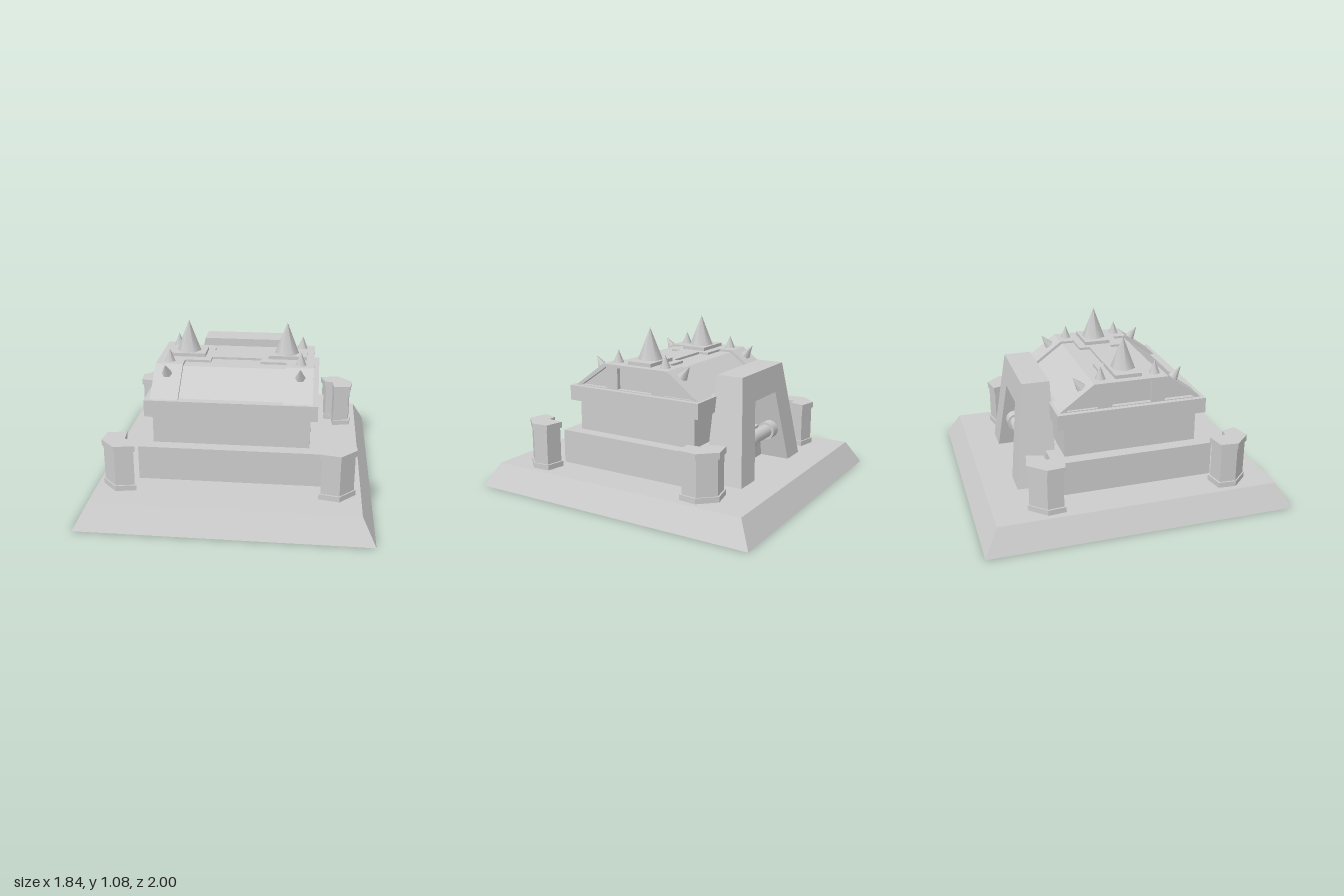
import * as THREE from 'three';

const grey = new THREE.MeshStandardMaterial({ color: 0xcccccc });
const greyOpen = new THREE.MeshStandardMaterial({ color: 0xcccccc, side: THREE.DoubleSide });
const MID = 0.0275; // z of the building's centre line

const toShape = (pts) => new THREE.Shape(pts.map(([x, y]) => new THREE.Vector2(x, y)));

// Box given by its limits on each axis
function box(x0, x1, y0, y1, z0, z1) {
  return new THREE.BoxGeometry(x1 - x0, y1 - y0, z1 - z0)
    .translate((x0 + x1) / 2, (y0 + y1) / 2, (z0 + z1) / 2);
}

// [z, y] outline extruded along x, with optional holes
function prismX(pts, x0, x1, holes = []) {
  const flip = (list) => list.map(([z, y]) => [-z, y]);
  const shape = toShape(flip(pts));
  shape.holes = holes.map((h) => toShape(flip(h)));
  return new THREE.ExtrudeGeometry(shape, { depth: x1 - x0, bevelEnabled: false })
    .rotateY(Math.PI / 2).translate(x0, 0, 0);
}

// [x, z] outline extruded upwards
function prismY(pts, y0, y1) {
  return new THREE.ExtrudeGeometry(toShape(pts.map(([x, z]) => [x, -z])), { depth: y1 - y0, bevelEnabled: false })
    .rotateX(-Math.PI / 2).translate(0, y0, 0);
}

export function createModel() {
  const model = new THREE.Group();
  const add = (name, geometry, parent = model, material = grey) => {
    const mesh = new THREE.Mesh(geometry, material);
    mesh.name = name;
    parent.add(mesh);
    return mesh;
  };
  const group = (name) => {
    const g = new THREE.Group();
    g.name = name;
    model.add(g);
    return g;
  };

  // Sloping base, open underneath
  const base = box(-0.92, 0.92, 0, 0.155, -1, 1);
  const p = base.attributes.position;
  for (let i = 0; i < p.count; i++) {
    if (p.getY(i) > 0.1) p.setXYZ(i, p.getX(i) * 0.908, p.getY(i), p.getZ(i) * 0.91);
  }
  const index = Array.from(base.index.array);
  index.splice(18, 6);
  base.setIndex(index);
  base.clearGroups();
  const flatBase = base.toNonIndexed();
  flatBase.computeVertexNormals();
  add('base', flatBase, model, greyOpen);

  // Stepped walls and roof slab
  add('lowerTier', box(-0.59, 0.59, 0.15, 0.38, -0.505, 0.555));
  add('upperTier', box(-0.505, 0.505, 0.38, 0.585, -0.41, 0.47));
  add('roofSlab', box(-0.55, 0.55, 0.585, 0.685, -0.46, 0.52));

  // Roof: lower middle, raised ends with framed gables
  const roof = group('roof');
  const profile = (half, top, y) => [
    [MID + half, 0.685], [MID + top, y], [MID - top, y], [MID - half, 0.685],
  ];
  add('roofMiddle', prismX(profile(0.4375, 0.2325, 0.835), -0.335, 0.335), roof);
  add('ridgePlateMiddle', box(-0.165, 0.165, 0.82, 0.85, -0.05, 0.1), roof);
  const end = profile(0.4675, 0.243, 0.85);
  const sidePanel = (s) => [[0.2225, 0.69], [0.2225, 0.83], [0.425, 0.69]].map(([z, y]) => [MID + s * z, y]);
  const panels = [
    [[-0.1, 0.69], [-0.1, 0.83], [0.16, 0.83], [0.16, 0.69]],
    sidePanel(1), sidePanel(-1),
  ];
  for (const s of [-1, 1]) {
    const span = (a, b) => (s > 0 ? [a, b] : [-b, -a]);
    add('roofEnd', prismX(end, ...span(0.335, 0.485)), roof);
    add('gableFrame', prismX(end, ...span(0.485, 0.515), panels), roof);
    add('ridgePlateEnd', box(...span(0.165, 0.335), 0.82, 0.85, -0.12, 0.175), roof);
    add('spirePlate', box(...span(0.21, 0.465), 0.84, 0.873, -0.065, 0.11), roof);
  }

  // Six-sided spikes: a spire on each side, small ones upright and on the slopes
  const spikes = group('spikes');
  const spike = (name, r, h, x, y, z, tilt = 0) => {
    const geometry = new THREE.ConeGeometry(r, h, 6).rotateY(name === 'spire' ? Math.PI / 2 : Math.PI / 6)
      .translate(0, h / 2, 0);
    const mesh = add(name, geometry, spikes);
    mesh.position.set(x, y, z);
    mesh.rotation.x = tilt;
  };
  for (const s of [-1, 1]) {
    spike('spire', 0.081, 0.21, s * 0.33, 0.872, MID);
    for (const d of [-1, 1]) {
      spike('smallSpike', 0.035, 0.086, s * 0.43, 0.85, MID + d * 0.18);
      spike('slopeSpike', 0.035, 0.094, s * 0.43, 0.803, MID + d * 0.304, d * 0.63);
    }
  }

  // Notched corner pillars with foot and cap
  const outline = [
    [0.79, 0.53], [0.667, 0.508], [0.656, 0.62], [0.6, 0.625], [0.57, 0.725], [0.7, 0.751], [0.8, 0.645],
  ];
  for (const s of [-1, 1]) {
    for (const d of [-1, 1]) {
      const pillar = group('cornerPillar');
      const ring = (k) => outline.map(([x, z]) => [
        s * (0.69 + (x - 0.69) * k),
        MID + d * (0.645 + (z - 0.645) * k - MID),
      ]);
      add('pillarFoot', prismY(ring(1), 0.15, 0.19), pillar);
      add('pillarShaft', prismY(ring(0.9), 0.19, 0.42), pillar);
      add('pillarCap', prismY(ring(1), 0.42, 0.46), pillar);
    }
  }

  // Rear arch with a sloping outer face
  const arch = new THREE.ExtrudeGeometry(toShape([
    [-0.437, 0.15], [-0.29, 0.815], [0.29, 0.815], [0.437, 0.15],
    [0.255, 0.15], [0.15, 0.64], [-0.15, 0.64], [-0.255, 0.15],
  ]), { depth: 1, bevelEnabled: false });
  const a = arch.attributes.position;
  for (let i = 0; i < a.count; i++) {
    const back = -0.705 + 0.08 * (a.getY(i) - 0.155) / 0.66;
    a.setZ(i, a.getZ(i) > 0.5 ? -0.445 : back);
  }
  arch.computeVertexNormals();
  add('rearArch', arch);

  // Roller between the arch legs
  const roller = group('roller');
  const bar = (name, r, x0, x1) => add(name,
    new THREE.CylinderGeometry(r, r, x1 - x0, 16).rotateZ(Math.PI / 2).translate((x0 + x1) / 2, 0.37, -0.595), roller);
  bar('rollerBar', 0.045, -0.23, 0.23);
  bar('rollerCollar', 0.06, -0.19, -0.12);
  bar('rollerCollar', 0.06, 0.12, 0.19);

  return model;
}
